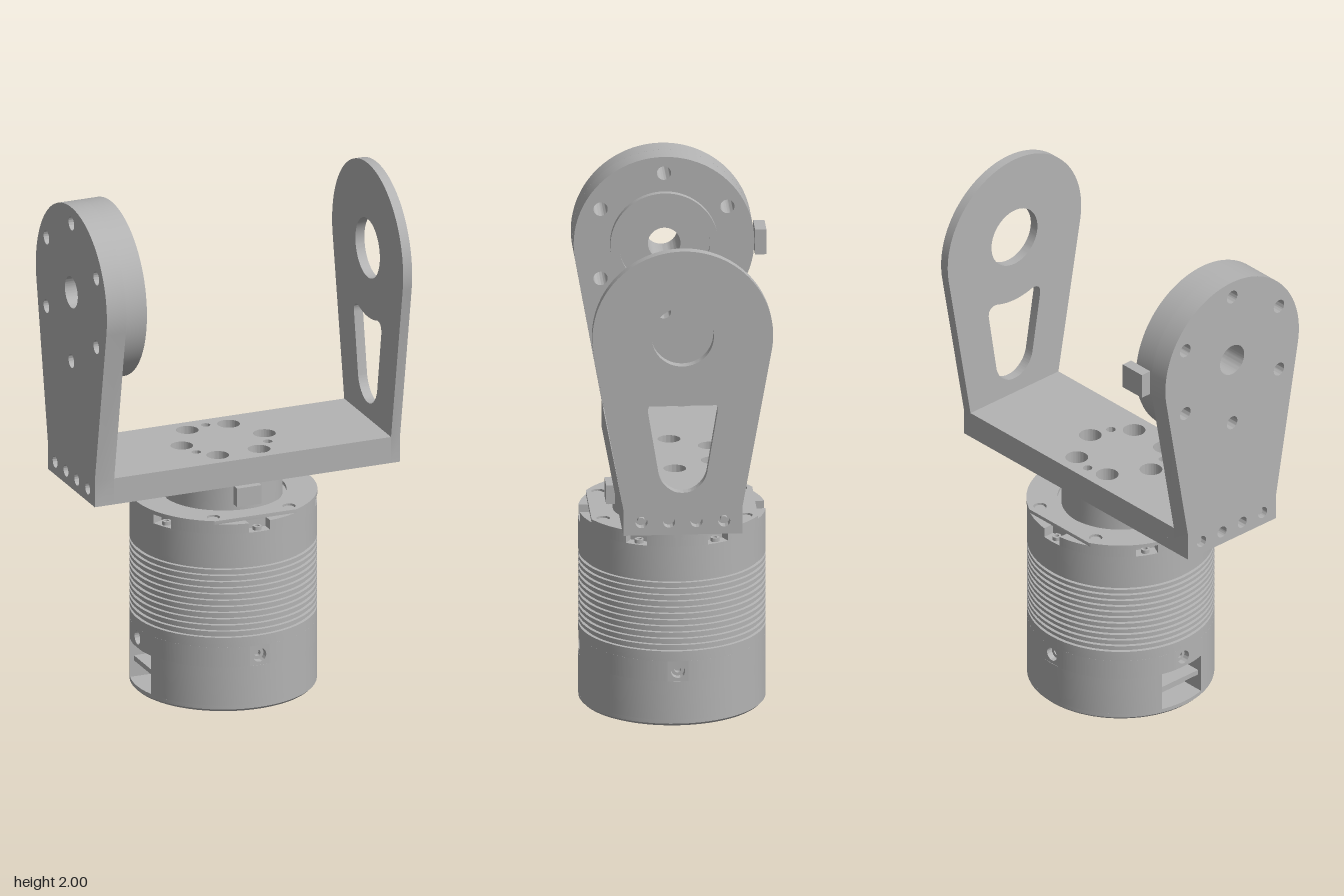
import * as THREE from 'three';
import { toCreasedNormals } from 'three/addons/utils/BufferGeometryUtils.js';

const CX = -0.005, CZ = 0.012; // motor axis
const AXIS_Y = 1.657;          // height of the pivot axis
const PI = Math.PI;

const smooth = (g) => toCreasedNormals(g, 0.5);

function circlePath(x, y, r) {
  const p = new THREE.Path();
  p.absarc(x, y, r, 0, PI * 2, true);
  return p;
}

function disc(r, holes = []) {
  const s = new THREE.Shape();
  s.absarc(0, 0, r, 0, PI * 2, false);
  s.holes.push(...holes);
  return s;
}

// disc outline with square notches cut in at the given angles
function notchedDisc(r, angles, halfWidth, depth) {
  const s = new THREE.Shape(), d = Math.asin(halfWidth / r);
  const inner = r * Math.cos(d) - depth;
  angles.forEach((a, i) => {
    const next = i + 1 < angles.length ? angles[i + 1] : angles[0] + PI * 2;
    for (const w of [-halfWidth, halfWidth]) {
      const x = inner * Math.cos(a) - w * Math.sin(a), y = inner * Math.sin(a) + w * Math.cos(a);
      if (i === 0 && w < 0) s.moveTo(x, y); else s.lineTo(x, y);
    }
    s.absarc(0, 0, r, a + d, next - d, false);
  });
  s.closePath();
  return s;
}

const extrude = (shape, depth) =>
  new THREE.ExtrudeGeometry(shape, { depth, bevelEnabled: false, curveSegments: 40 });

export function createModel() {
  const model = new THREE.Group();
  model.name = 'motorWithBracket';
  const metal = new THREE.MeshStandardMaterial({ color: 0xb3b3b3 });
  metal.name = 'grey metal';

  function add(name, geometry, parent = model) {
    const m = new THREE.Mesh(geometry, metal);
    m.name = name;
    parent.add(m);
    return m;
  }
  // slab lying flat: shape (x, -z) raised from y0 to y1
  function flat(name, shape, y0, y1, parent) {
    return add(name, smooth(extrude(shape, y1 - y0).rotateX(-PI / 2).translate(0, y0, 0)), parent);
  }
  // upright slab: shape (-z, y) swept from x0 to x1
  function upright(name, shape, x0, x1, y = 0) {
    return add(name, smooth(extrude(shape, x1 - x0).rotateY(PI / 2).translate(x0, y, CZ)));
  }

  // ---- motor ----
  const motor = new THREE.Group();
  motor.name = 'motor';
  motor.position.set(CX, 0, CZ);
  model.add(motor);
  const R = 0.355;
  const lathe = (name, pts) => add(name,
    smooth(new THREE.LatheGeometry(pts.map(([r, y]) => new THREE.Vector2(r, y)), 72)), motor);

  lathe('motorBottom', [[0, 0], [R - 0.01, 0], [R, 0.01], [R, 0.025], [0, 0.025]]);

  // lower case with the connector window on one side
  flat('lowerCase', notchedDisc(R, [PI], 0.1, 0.09), 0.025, 0.18, motor);
  add('connectorBar', new THREE.BoxGeometry(0.07, 0.02, 0.2).translate(-0.29, 0.1, 0), motor);

  // band with four recessed side screws
  const quarters = [0, 1, 2, 3].map((i) => i * PI / 2);
  flat('screwBand', notchedDisc(R, quarters, 0.04, 0.045), 0.18, 0.26, motor);
  for (const a of quarters) {
    const g = new THREE.Group();
    g.name = 'sideScrew';
    g.rotation.y = a;
    motor.add(g);
    const plate = new THREE.Shape([[-0.04, -0.04], [0.04, -0.04], [0.04, 0.04], [-0.04, 0.04]]
      .map(([x, y]) => new THREE.Vector2(x, y)));
    plate.holes.push(circlePath(0, 0, 0.027));
    add('screwSeat', smooth(extrude(plate, 0.045).translate(0, 0.22, 0.308)), g);
    add('screwHead', smooth(extrude(disc(0.025, [circlePath(0, 0, 0.013)]), 0.02).translate(0, 0.22, 0.31)), g);
  }

  // cooling grooves
  const finned = [[0, 0.26], [R, 0.26], [R, 0.3]];
  const count = 12, pitch = 0.3 / count;
  for (let i = 0; i < count; i++) {
    const y = 0.3 + i * pitch;
    finned.push([R - 0.012, y + 0.001], [R - 0.012, y + 0.011], [R, y + 0.012], [R, y + pitch]);
  }
  finned.push([R, 0.72], [0, 0.72]);
  lathe('finnedCase', finned);

  // top rim with six pockets, each holding a small screw
  const pockets = [-150, -90, -30, 30, 90, 150].map((d) => Math.sign(d) * (Math.abs(d) === 90 ? 90 : Math.abs(d) === 30 ? 26 : 154) * PI / 180);
  flat('pocketRim', notchedDisc(R, pockets, 0.043, 0.045), 0.72, 0.758, motor);
  for (const a of pockets) {
    const s = flat('pocketScrew', disc(0.017, [circlePath(0, 0, 0.009)]), 0.72, 0.735, motor);
    s.position.set(0.328 * Math.cos(a), 0, -0.328 * Math.sin(a));
  }

  // flange ring with two flat sides and four screws
  const flange = new THREE.Shape(), b = Math.asin(0.316 / 0.357);
  flange.absarc(0, 0, 0.357, -b, b, false);
  flange.absarc(0, 0, 0.357, PI - b, PI + b, false);
  flange.closePath();
  flange.holes.push(circlePath(0, 0, 0.24));
  for (const x of [-0.156, 0.156]) for (const z of [-0.271, 0.271]) {
    flange.holes.push(circlePath(x, z, 0.025));
    add('flangeScrew', smooth(new THREE.CylinderGeometry(0.02, 0.02, 0.012, 20)), motor).position.set(x, 0.76, z);
  }
  flat('flange', flange, 0.757, 0.772, motor);

  // output neck and its key
  add('outputNeck', smooth(new THREE.CylinderGeometry(0.225, 0.225, 0.115, 64).translate(0, 0.8075, 0)), motor);
  add('neckKey', new THREE.BoxGeometry(0.1, 0.075, 0.08).translate(0, 0.8275, 0.213), motor);

  // ---- bracket base with counterbored bolt circle ----
  function baseShape(holeRadius) {
    const s = new THREE.Shape([[-0.55, -0.226], [0.59, -0.226], [0.59, 0.226], [-0.55, 0.226]]
      .map(([x, z]) => new THREE.Vector2(x, z)));
    for (let i = 0; i < 6; i++)
      s.holes.push(circlePath(CX + 0.17 * Math.cos(i * PI / 3), 0.17 * Math.sin(i * PI / 3), holeRadius));
    for (const a of [PI / 2, -PI / 6, -5 * PI / 6])
      s.holes.push(circlePath(CX + 0.17 * Math.cos(a), 0.17 * Math.sin(a), 0.018));
    return s;
  }
  flat('basePlateLower', baseShape(0.022), 0.865, 0.91).position.z = CZ;
  flat('basePlateUpper', baseShape(0.043), 0.91, 0.97).position.z = CZ;

  // ---- bracket arms ----
  function armShape(holes) {
    const s = new THREE.Shape(), t = 0.175;
    s.moveTo(-0.226, 0.865);
    s.lineTo(0.226, 0.865);
    s.lineTo(0.226, 0.97);
    s.absarc(0, AXIS_Y, 0.343, -t, PI + t, false);
    s.lineTo(-0.226, 0.97);
    s.closePath();
    for (const z of [-0.157, -0.052, 0.052, 0.157]) s.holes.push(circlePath(z, 0.917, 0.023));
    s.holes.push(...holes);
    return s;
  }
  // tapered lightening slot
  const slot = new THREE.Path();
  slot.moveTo(-0.132, 1.355);
  slot.quadraticCurveTo(-0.135, 1.4, -0.09, 1.394);
  slot.quadraticCurveTo(0, 1.365, 0.09, 1.394);
  slot.quadraticCurveTo(0.135, 1.4, 0.132, 1.355);
  slot.lineTo(0.092, 1.11);
  slot.quadraticCurveTo(0.08, 1.06, 0.03, 1.037);
  slot.quadraticCurveTo(0, 1.028, -0.03, 1.037);
  slot.quadraticCurveTo(-0.08, 1.06, -0.092, 1.11);
  slot.closePath();
  upright('leftArm', armShape([circlePath(0, AXIS_Y, 0.118), slot]), 0.59, 0.627);

  const boltCircle = (y) => [circlePath(0, y, 0.062), ...[0, 1, 2, 3, 4, 5].map((i) => {
    const a = PI / 2 + i * PI / 3;
    return circlePath(0.278 * Math.cos(a), y + 0.278 * Math.sin(a), 0.027);
  })];
  upright('rightArm', armShape(boltCircle(AXIS_Y)), -0.63, -0.55);

  // screw heads sunk in the arm feet
  for (const x of [-0.6, 0.6]) for (const z of [-0.157, 0.157])
    add('footScrew', smooth(new THREE.CylinderGeometry(0.014, 0.014, 0.03, 16).rotateZ(PI / 2)))
      .position.set(x, 0.917, CZ + z);

  // ---- pivot disc, raised ring and clip on the right arm ----
  upright('pivotDisc', disc(0.343, boltCircle(0)), -0.55, -0.465, AXIS_Y);
  upright('pivotRing', disc(0.205, [circlePath(0, 0, 0.172)]), -0.465, -0.44, AXIS_Y);
  upright('pivotHub', disc(0.172, [circlePath(0, 0, 0.062)]), -0.465, -0.457, AXIS_Y);
  add('discClip', new THREE.BoxGeometry(0.107, 0.1, 0.043).translate(-0.4925, 1.66, -0.3535));

  return model;
}
